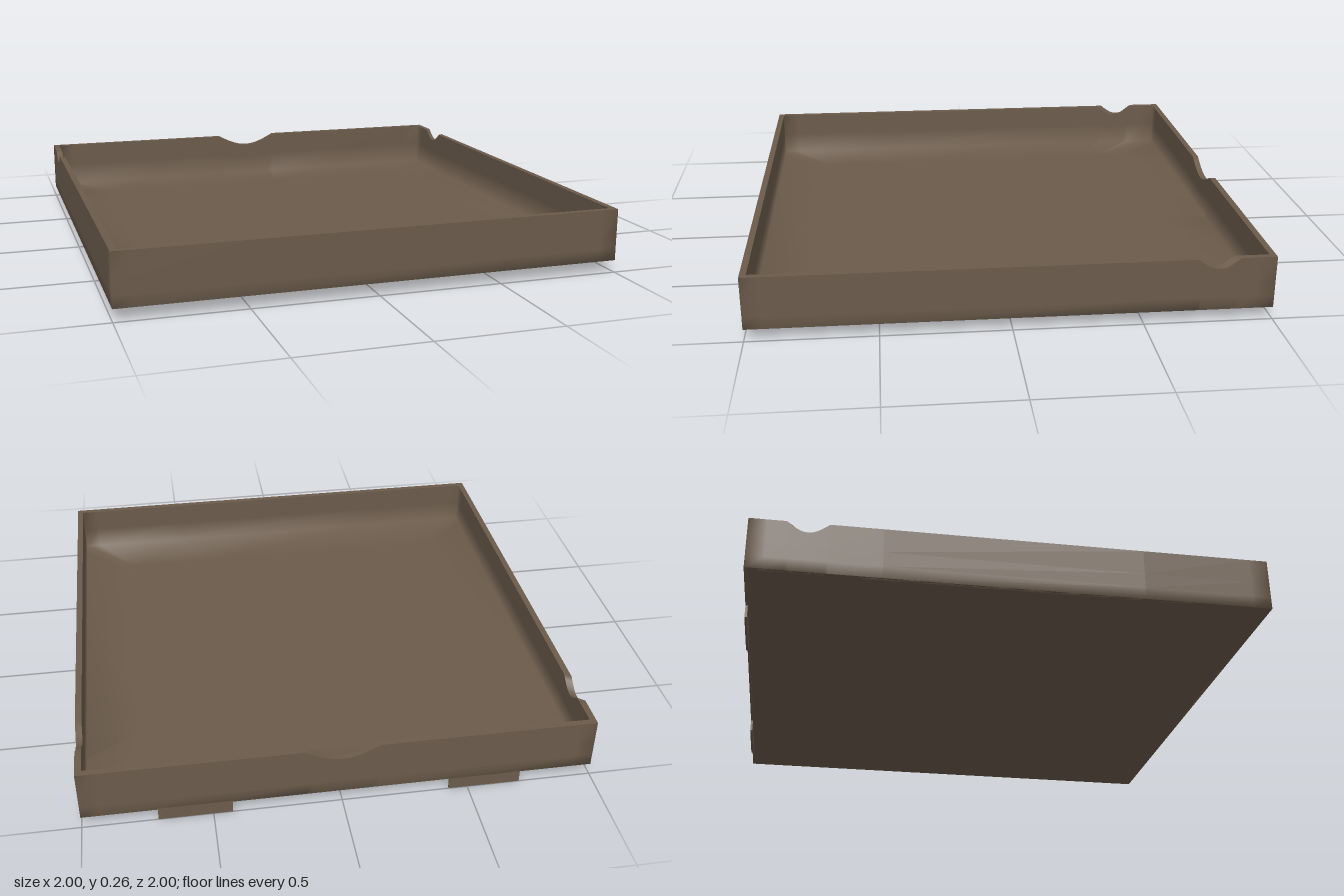
import * as THREE from 'three';

const BASE = 0.05, TOP = 0.26, FLOOR = 0.065, INSET = 0.975;

// Positions along one edge, with extra samples across a notch
function samples(center, half) {
  const t = [-1, -0.93, -0.5, 0.5, 0.93].filter((v) => Math.abs(v - center) > half * 1.2);
  if (half) for (let i = -5; i <= 5; i++) t.push(center + (half * i) / 5);
  return t.sort((a, b) => a - b);
}

// Notch depth at a position along an edge
function dip(t, center, half, depth) {
  const u = (t - center) / half;
  return Math.abs(u) < 1 ? depth * Math.cos((u * Math.PI) / 2) : 0;
}

// Perimeter, counter-clockwise from above: [x, z, drop of the rim]
function perimeter() {
  const points = [];
  for (const t of samples(0, 0)) points.push([t, 1, 0]);
  for (const t of samples(0.78, 0.08)) points.push([1, -t, dip(t, 0.78, 0.08, 0.042)]);
  for (const t of samples(0, 0.145)) points.push([-t, -1, dip(t, 0, 0.145, 0.05)]);
  for (const t of samples(-0.78, 0.08)) points.push([-1, t, dip(t, -0.78, 0.08, 0.042)]);
  return points;
}

// Skin through scaled copies of the perimeter; rows are [scale, y, share of drop]
function skin(rows) {
  const loop = perimeter(), n = loop.length, pos = [], index = [];
  for (const [s, y, f] of rows) {
    for (const [x, z, d] of loop) pos.push(x * s, y - d * f, z * s);
  }
  for (let r = 0; r < rows.length - 1; r++) {
    for (let i = 0; i < n; i++) {
      const a = r * n + i, b = r * n + ((i + 1) % n);
      index.push(a, b, b + n, a, b + n, a + n);
    }
  }
  const g = new THREE.BufferGeometry();
  g.setAttribute('position', new THREE.Float32BufferAttribute(pos, 3));
  g.setIndex(index);
  g.computeVertexNormals();
  return g;
}

export function createModel() {
  const group = new THREE.Group();
  const brown = new THREE.MeshStandardMaterial({ color: 0x6b5b4b });
  brown.name = 'brown';

  const add = (name, geometry) => {
    const mesh = new THREE.Mesh(geometry, brown);
    mesh.name = name;
    group.add(mesh);
    return mesh;
  };

  // Underside
  add('underside', skin([[0, BASE, 0], [1, BASE, 0]]));
  // Outer walls, softly shaded round the bottom edge
  add('outerWalls', skin([[0.98, BASE, 0], [1, BASE, 0], [1, 0.1, 0], [1, 0.16, 0.2], [1, TOP, 1]]));
  // Flat top of the walls
  add('rim', skin([[1, TOP, 1], [INSET, TOP, 1]]));
  // Inner walls running softly into the floor
  add('innerTray', skin([
    [INSET, TOP, 1], [INSET, 0.16, 0.2], [INSET, FLOOR, 0],
    [0.75, FLOOR, 0], [0, FLOOR, 0],
  ]));

  // Two thin tabs below the back wall
  for (const side of [-1, 1]) {
    const tab = add(side > 0 ? 'leftTab' : 'rightTab', new THREE.BoxGeometry(0.285, 0.055, 0.009));
    tab.position.set(side * 0.568, 0.0275, -0.9955);
  }
  return group;
}
